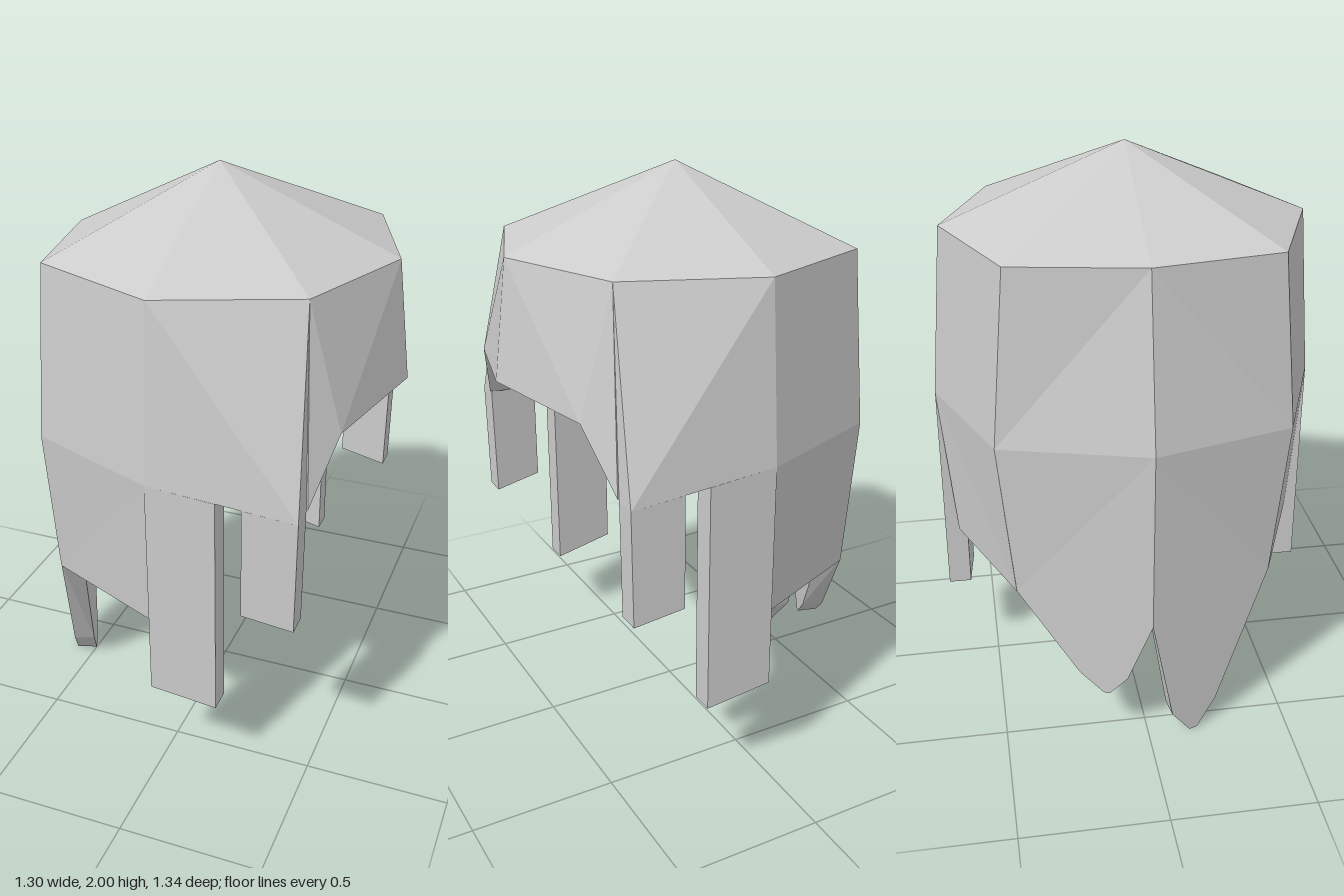
import * as THREE from 'three';

const AXIS_X = -0.02;
const material = new THREE.MeshStandardMaterial({ color: 0xcccccc, flatShading: true });

// inner surface rules: shrink towards the vertical axis, or shift sideways
const shrink = ([x, y, z]) => [AXIS_X + (x - AXIS_X) * 0.87, y, z * 0.87];
const shift = (dx, dz) => ([x, y, z]) => [x + dx, y, z + dz];

// closed slab: a fan of outer points, matching inner points and walls between
function slab(name, outer, inward) {
  const inner = outer.map(inward);
  const n = outer.length;
  const v = (p) => new THREE.Vector3(...p);
  const normal = v(outer[1]).sub(v(outer[0])).cross(v(outer[2]).sub(v(outer[0])));
  const flip = normal.dot(v(outer[0]).sub(v(inner[0]))) < 0;
  const position = [];
  const tri = (a, b, c) => position.push(...(flip ? [a, c, b] : [a, b, c]).flat());
  for (let i = 1; i < n - 1; i++) {
    tri(outer[0], outer[i], outer[i + 1]);
    tri(inner[0], inner[i + 1], inner[i]);
  }
  for (let i = 0; i < n; i++) {
    const j = (i + 1) % n;
    tri(outer[i], inner[i], inner[j]);
    tri(outer[i], inner[j], outer[j]);
  }
  const geometry = new THREE.BufferGeometry();
  geometry.setAttribute('position', new THREE.Float32BufferAttribute(position, 3));
  geometry.computeVertexNormals();
  const mesh = new THREE.Mesh(geometry, material);
  mesh.name = name;
  return mesh;
}

// back lock: [z, y] outline of its lower end, laid on the sloping back plane
function backLock(s, tip) {
  const lower = tip.map(([z, y]) => [-0.645 + 0.4 * z, y, s * z]);
  return slab('backLock', [
    [-0.65, 1.16, 0], [-0.48, 1.14, s * 0.49], ...lower, [-0.645, 0.51, 0],
  ], shrink);
}

export function createModel() {
  const group = new THREE.Group();
  group.name = 'hair';

  // half of the crown edge, front to back
  const ring = [[0.6, 0], [0.43, 0.44], [-0.02, 0.62], [-0.46, 0.44], [-0.54, 0]];
  const tips = {
    1: [[0.44, 0.585], [0.25, 0.1], [0.18, 0], [0.15, 0], [0.08, 0.1]],
    '-1': [[0.44, 0.585], [0.24, 0.28], [0.16, 0.205], [0.14, 0.205], [0.08, 0.28]],
  };

  for (const s of [1, -1]) {
    const side = new THREE.Group();
    side.name = s > 0 ? 'leftHalf' : 'rightHalf';
    group.add(side);
    const add = (name, points, inward) =>
      side.add(slab(name, points.map(([x, y, z]) => [x, y, s * z]), inward));

    // crown facets
    for (let i = 0; i < 4; i++) {
      const [a, b] = [ring[i], ring[i + 1]];
      add('crown', [[a[0], 1.74, a[1]], [b[0], 1.74, b[1]], [AXIS_X, 2, 0]],
        (p) => { const q = shrink(p); return p[1] > 1.9 ? [q[0], 1.93, q[2]] : q; });
    }

    // fringe over the open face
    add('fringe', [
      [0.54, 1.305, 0.42], [0.65, 1.33, 0], [0.6, 1.74, 0], [0.43, 1.74, 0.44], [0.48, 1.09, 0.55],
    ], shift(-0.07, -0.02 * s));

    // side panel with two hanging strands
    const sideInward = shift(0, -0.08 * s);
    add('sidePanel', [
      [-0.02, 1.74, 0.62], [0.43, 1.74, 0.44], [0.475, 1.08, 0.63], [-0.02, 1.14, 0.67],
    ], sideInward);
    add('longStrand', [
      [-0.02, 1.14, 0.67], [0.21, 1.112, 0.652], [0.21, 0.3, 0.652], [-0.02, 0.34, 0.67],
    ], sideInward);
    add('shortStrand', [
      [0.295, 1.102, 0.645], [0.475, 1.08, 0.63], [0.47, 0.675, 0.63], [0.295, 0.705, 0.645],
    ], sideInward);

    // rear side panels, upper and lower
    add('rearSideUpper', [
      [-0.02, 1.74, 0.62], [-0.46, 1.74, 0.44], [-0.48, 1.14, 0.49], [-0.02, 1.14, 0.67],
    ], shrink);
    add('rearSideLower', [
      [-0.02, 1.14, 0.67], [-0.48, 1.14, 0.49], [-0.47, 0.585, 0.44], [-0.04, 0.585, 0.62],
    ], shrink);

    // back panel and its pointed lock
    add('backUpper', [
      [-0.54, 1.74, 0], [-0.46, 1.74, 0.44], [-0.48, 1.14, 0.49], [-0.65, 1.16, 0],
    ], shrink);
    side.add(backLock(s, tips[s]));
  }
  return group;
}
